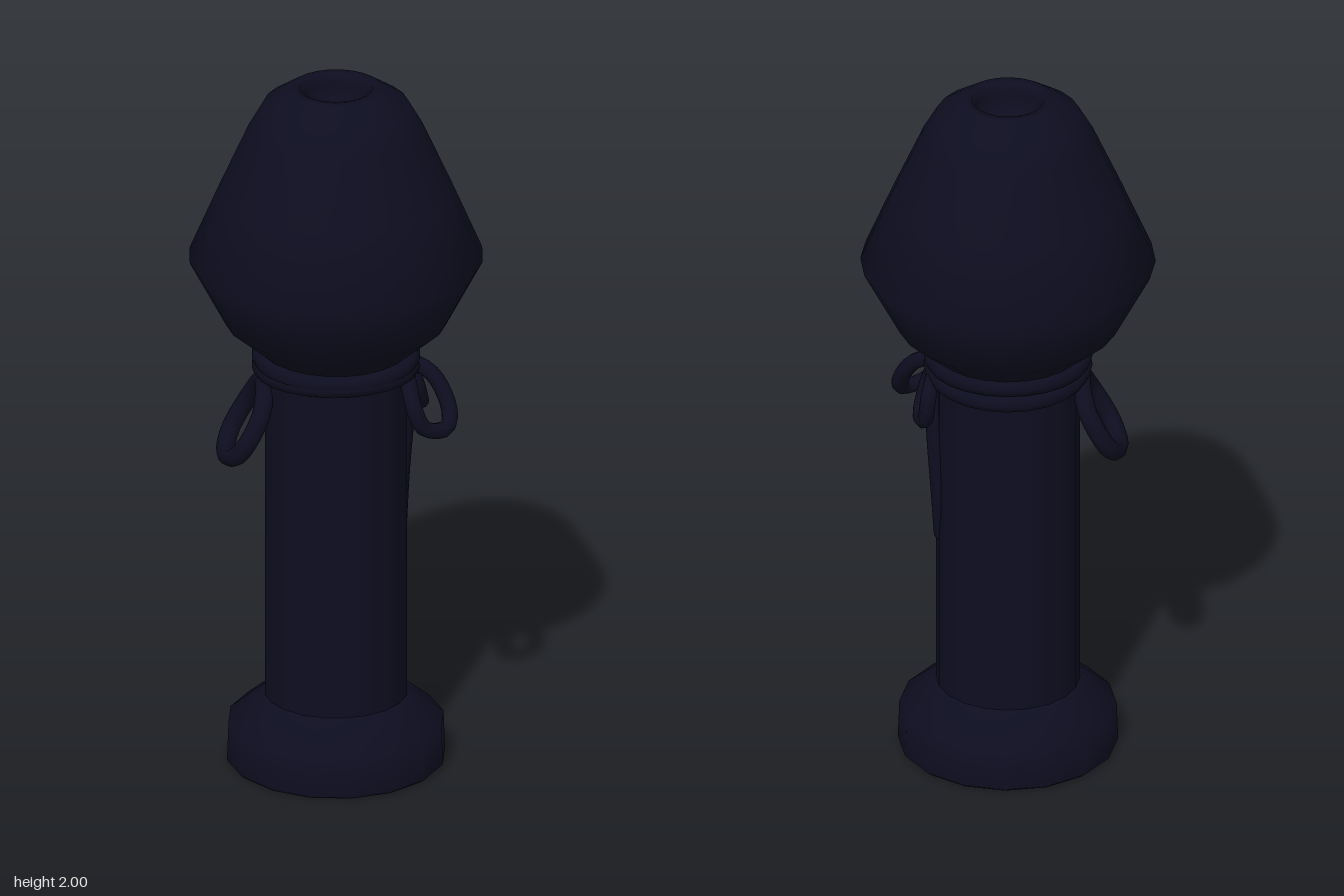
import * as THREE from 'three';

export function createModel() {
  const group = new THREE.Group();
  const navy = new THREE.MeshStandardMaterial({ name: 'darkNavy', color: 0x0d0d20 });
  const blue = new THREE.MeshStandardMaterial({ name: 'blue', color: 0x0f0f99 });

  const add = (name, geometry, material = navy) => {
    const mesh = new THREE.Mesh(geometry, material);
    mesh.name = name;
    group.add(mesh);
    return mesh;
  };
  const lathe = (name, profile, sides) =>
    add(name, new THREE.LatheGeometry(profile.map(([r, y]) => new THREE.Vector2(r, y)), sides));
  const cord = (name, points, radius, closed) => {
    const curve = new THREE.CatmullRomCurve3(points.map(p => new THREE.Vector3(...p)), closed);
    return add(name, new THREE.TubeGeometry(curve, 24, radius, 8, closed));
  };

  // Foot and straight shaft
  lathe('base', [[0, 0], [0.29, 0], [0.302, 0.01], [0.298, 0.12], [0.2, 0.2], [0.18, 0.205]], 16);
  lathe('shaft', [[0.197, 0.18], [0.197, 1.26]], 20);

  // Tapered head with an open hole in its top
  lathe('head', [[0.18, 1.2], [0.215, 1.235], [0.305, 1.31], [0.405, 1.5], [0.32, 1.7], [0.24, 1.88],
    [0.2, 1.95], [0.125, 2], [0.1, 2], [0.092, 1.97], [0.092, 1.89], [0, 1.889]], 24);

  // Blue floor of the hole
  const floor = add('holeFloor', new THREE.CircleGeometry(0.088, 7, Math.PI / 2), blue);
  floor.rotation.x = -Math.PI / 2;
  floor.position.y = 1.9;

  // Cord wound twice around the neck
  for (const [y, tilt] of [[1.205, 0.03], [1.175, -0.06]]) {
    const ring = add('neckCord', new THREE.TorusGeometry(0.206, 0.026, 8, 24));
    ring.rotation.set(Math.PI / 2 + tilt, 0, 0);
    ring.position.y = y;
  }

  // Bow loops and the loose cord end
  cord('frontBowLoop', [[0.2, 1.18, 0.03], [0.26, 1.15, 0.05], [0.3, 1.06, 0.1],
    [0.285, 1.025, 0.14], [0.22, 1.04, 0.17], [0.19, 1.11, 0.16]], 0.023, true);
  cord('rearBowLoop', [[0.2, 1.17, 0], [0.215, 1.13, -0.11], [0.225, 1.05, -0.1],
    [0.24, 1.035, -0.03], [0.225, 1.1, 0.01]], 0.022, true);
  cord('sideLoop', [[-0.2, 1.14, 0], [-0.22, 1.07, 0.085], [-0.28, 0.96, 0.09],
    [-0.305, 0.925, 0], [-0.28, 0.96, -0.09], [-0.22, 1.07, -0.085]], 0.026, true);
  cord('hangingCord', [[0.2, 1.16, -0.01], [0.2, 1.0, -0.04], [0.188, 0.82, -0.05],
    [0.178, 0.66, -0.04]], 0.024, false);

  return group;
}
